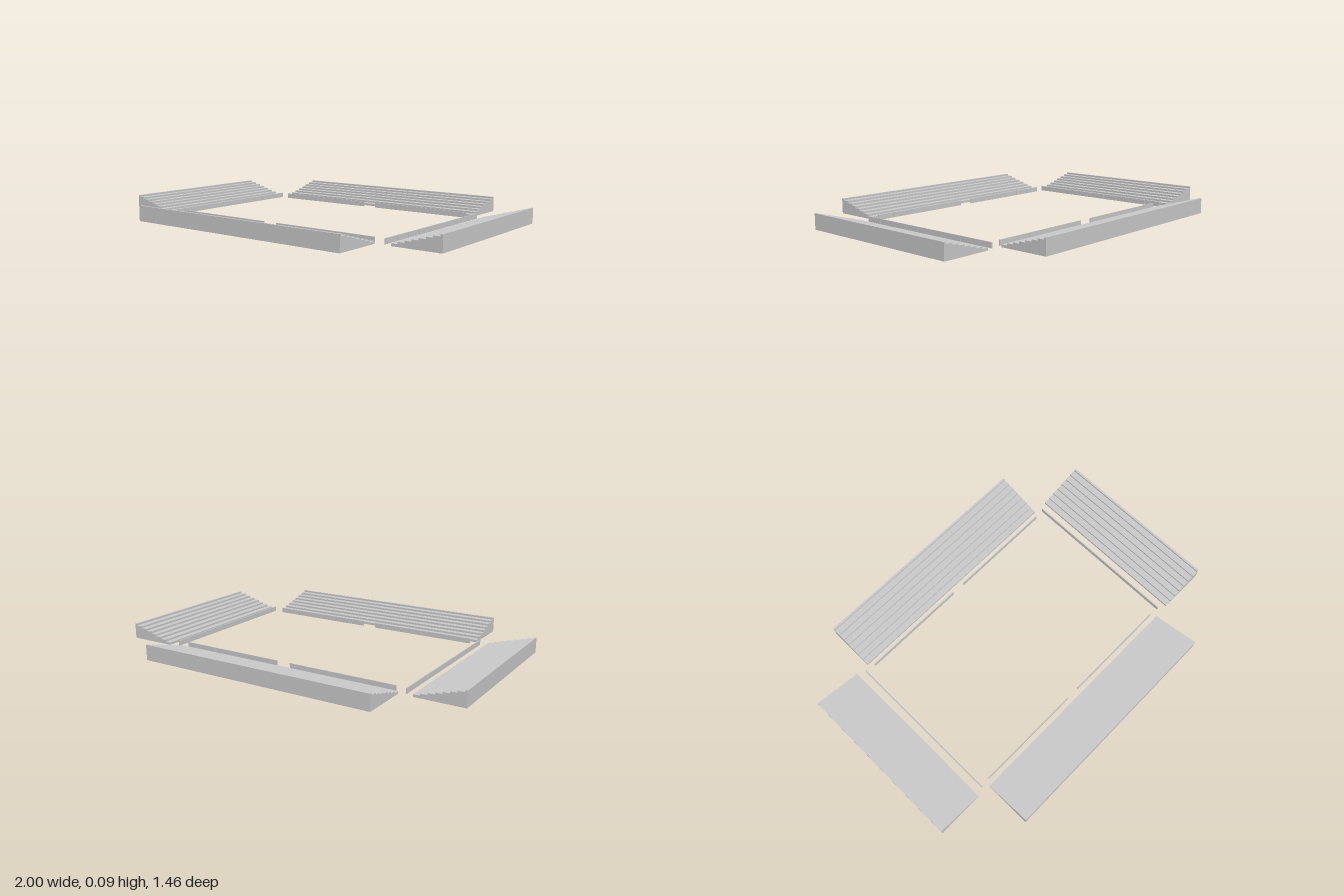
import * as THREE from 'three';

const material = new THREE.MeshStandardMaterial({ color: 0xcccccc, flatShading: true });

// Terraced stand: stepped profile rising along +x, extruded along z
function standGeometry(length) {
  const depth = 0.26, height = 0.085, first = 0.015, ledge = 0.012, base = 0.002, steps = 7;
  const tread = (depth - ledge) / steps, rise = (height - first) / steps;
  const shape = new THREE.Shape();
  shape.moveTo(0, base);
  shape.lineTo(depth, base);
  shape.lineTo(depth, height);
  for (let i = steps; i > 0; i--) {
    shape.lineTo(i * tread, first + i * rise);
    shape.lineTo(i * tread, first + (i - 1) * rise);
  }
  shape.lineTo(0, first);
  shape.closePath();
  return new THREE.ExtrudeGeometry(shape, { depth: length, bevelEnabled: false })
    .translate(0, 0, -length / 2);
}

// Row of low boards running along x, centred on the group's origin
function boardRow(name, count) {
  const pitch = 0.0995, gap = 0.001, height = 0.028, thickness = 0.005;
  const row = new THREE.Group();
  row.name = name;
  const geometry = new THREE.BoxGeometry(pitch - gap, height, thickness);
  for (let i = 0; i < count; i++) {
    const board = new THREE.Mesh(geometry, material);
    board.name = 'board';
    board.position.set((i - (count - 1) / 2) * pitch, height / 2, 0);
    row.add(board);
  }
  return row;
}

export function createModel() {
  const model = new THREE.Group();
  model.name = 'stadiumStands';

  // Four stands facing the pitch
  const sideStand = standGeometry(0.94), longStand = standGeometry(1.32);
  const stands = [
    ['leftStand', sideStand, 0.74, -0.002, 0],
    ['rightStand', sideStand, -0.74, -0.002, Math.PI],
    ['frontStand', longStand, -0.005, 0.471, -Math.PI / 2],
    ['backStand', longStand, -0.005, -0.471, Math.PI / 2],
  ];
  for (const [name, geometry, x, z, turn] of stands) {
    const stand = new THREE.Mesh(geometry, material);
    stand.name = name;
    stand.position.set(x, 0, z);
    stand.rotation.y = turn;
    model.add(stand);
  }

  // Boards along the pitch: unbroken on the sides, split in the middle front and back
  for (const side of [1, -1]) {
    const sideRow = boardRow(side > 0 ? 'leftBoards' : 'rightBoards', 9);
    sideRow.position.set(side * 0.694 - 0.001, 0, -0.002);
    sideRow.rotation.y = Math.PI / 2;
    model.add(sideRow);
    for (const end of [1, -1]) {
      const endRow = boardRow(end > 0 ? 'frontBoards' : 'backBoards', 6);
      endRow.position.set(side * 0.338 - 0.002, 0, end * 0.44);
      model.add(endRow);
    }
  }
  return model;
}
